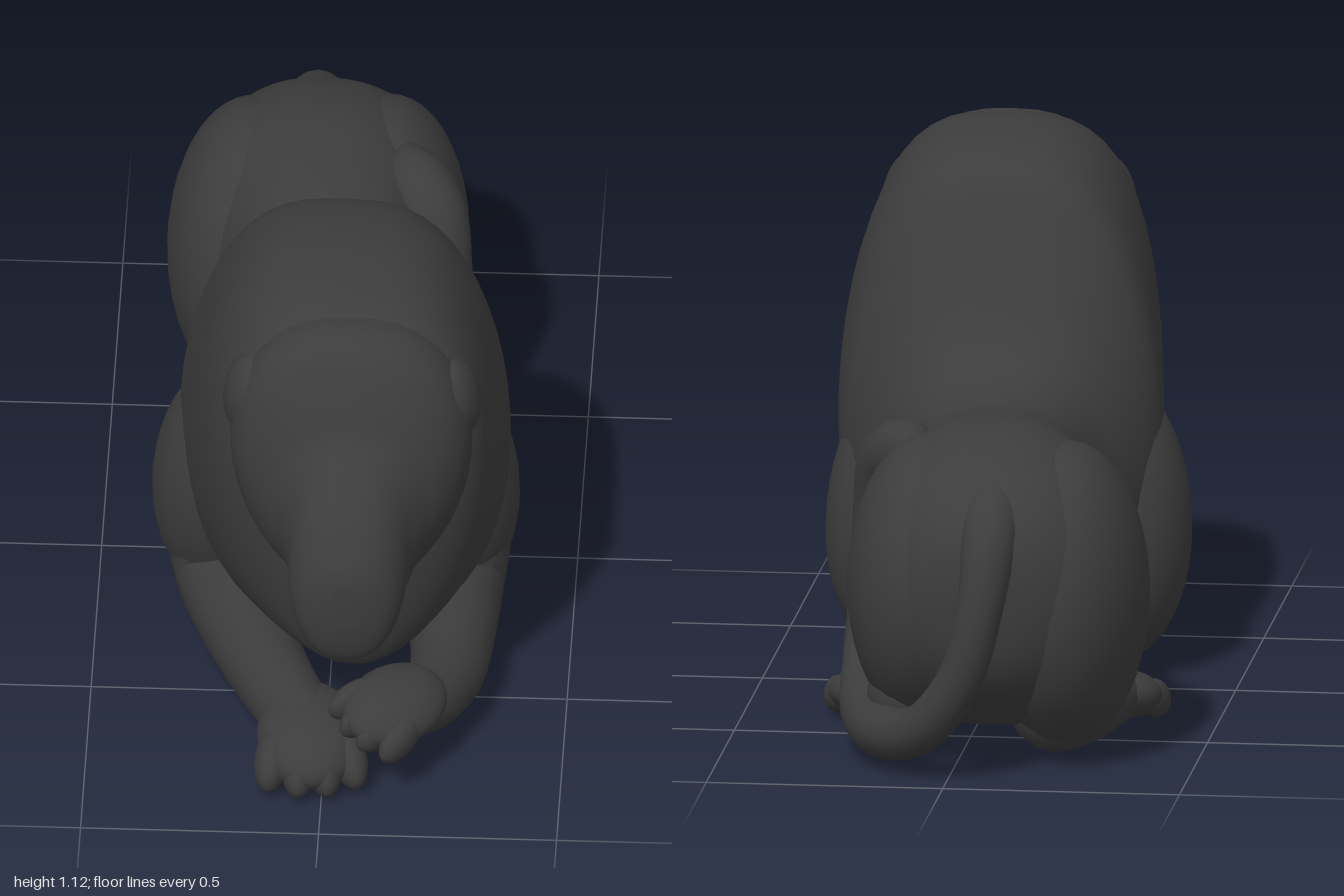
import * as THREE from 'three';

const mat = new THREE.MeshStandardMaterial({ color: 0x3c3c3c, side: THREE.DoubleSide });

// Joins closed rings of points into a smooth skin, closing both ends
function skin(rings) {
  const n = rings[0].length, pos = [], idx = [];
  rings.forEach(r => r.forEach(p => pos.push(p.x, p.y, p.z)));
  for (let i = 0; i < rings.length - 1; i++) {
    for (let j = 0; j < n; j++) {
      const a = i * n + j, b = i * n + (j + 1) % n;
      idx.push(a, b, a + n, b, b + n, a + n);
    }
  }
  [0, rings.length - 1].forEach(i => {
    const c = rings[i].reduce((s, p) => s.add(p), new THREE.Vector3()).divideScalar(n);
    const k = pos.length / 3;
    pos.push(c.x, c.y, c.z);
    for (let j = 0; j < n; j++) {
      const a = i * n + j, b = i * n + (j + 1) % n;
      if (i === 0) idx.push(k, b, a); else idx.push(k, a, b);
    }
  });
  const g = new THREE.BufferGeometry();
  g.setAttribute('position', new THREE.Float32BufferAttribute(pos, 3));
  g.setIndex(idx);
  g.computeVertexNormals();
  return g;
}

// Smoothly blends rows of numbers; u runs from 0 to 1
function blend(rows, u) {
  const f = u * (rows.length - 1), i = Math.min(Math.floor(f), rows.length - 2), t = f - i;
  const at = k => rows[Math.max(0, Math.min(rows.length - 1, k))];
  return rows[0].map((_, c) => {
    const [a, b, d, e] = [at(i - 1)[c], at(i)[c], at(i + 1)[c], at(i + 2)[c]];
    return b + 0.5 * t * (d - a + t * (2 * a - 5 * b + 4 * d - e + t * (3 * (b - d) + e - a)));
  });
}

// Sections along z: [z, centre x, half width, bottom y, top y, taper, roundness]
function loft(rows) {
  const steps = (rows.length - 1) * 4, rings = [];
  for (let i = 0; i <= steps; i++) {
    const [z, cx, w, y0, y1, taper, power] = blend(rows, i / steps);
    rings.push(Array.from({ length: 48 }, (_, j) => {
      const a = j / 48 * Math.PI * 2, c = Math.cos(a), s = Math.sin(a);
      const x = Math.sign(c) * Math.abs(c) ** power * w * (1 + taper * s);
      return new THREE.Vector3(cx + x, (y0 + y1) / 2 + s * (y1 - y0) / 2, z);
    }));
  }
  return skin(rings);
}

// Rounded limb through points [x, y, z, radius]
function limb(rows) {
  const steps = (rows.length - 1) * 6, sides = 16;
  const curve = new THREE.CatmullRomCurve3(rows.map(r => new THREE.Vector3(r[0], r[1], r[2])));
  const rings = [], side = new THREE.Vector3(1, 0, 0);
  const ring = (p, t, r) => {
    side.addScaledVector(t, -side.dot(t)).normalize();
    const v = new THREE.Vector3().crossVectors(t, side);
    rings.push(Array.from({ length: sides }, (_, j) => {
      const a = j / sides * Math.PI * 2;
      return p.clone().addScaledVector(side, Math.cos(a) * r).addScaledVector(v, Math.sin(a) * r);
    }));
  };
  for (let i = 0; i <= steps; i++) {
    const u = i / steps, p = curve.getPoint(u), t = curve.getTangent(u), r = blend(rows, u)[3];
    const caps = i === 0 ? [-0.98, -0.8, -0.45, 0] : i === steps ? [0, 0.45, 0.8, 0.98] : [0];
    caps.forEach(c => ring(p.clone().addScaledVector(t, c * r), t, r * Math.sqrt(1 - c * c)));
  }
  return skin(rings);
}

export function createModel() {
  const lion = new THREE.Group();
  lion.name = 'recliningLion';
  const add = (name, geometry, parent = lion) => {
    const m = new THREE.Mesh(geometry, mat);
    m.name = name;
    parent.add(m);
    return m;
  };
  const ball = (name, p, r, rot = [0, 0, 0], parent = lion) => {
    const m = add(name, new THREE.SphereGeometry(1, 32, 22), parent);
    m.position.set(...p);
    m.scale.set(...r);
    m.rotation.set(...rot);
  };

  // Trunk, rising from the rump into the mane
  add('bodyAndMane', loft([
    [-0.945, -0.07, 0.03, 0.36, 0.46, 0, 0.9], [-0.92, -0.07, 0.13, 0.24, 0.54, 0, 0.9],
    [-0.85, -0.07, 0.22, 0.15, 0.615, 0, 0.85], [-0.75, -0.065, 0.275, 0.09, 0.67, -0.05, 0.8],
    [-0.6, -0.06, 0.295, 0.07, 0.705, -0.08, 0.8], [-0.42, -0.045, 0.255, 0.09, 0.69, -0.05, 0.8],
    [-0.25, -0.025, 0.22, 0.08, 0.66, 0, 0.75], [-0.1, -0.005, 0.24, 0.07, 0.69, 0, 0.75],
    [0, 0, 0.28, 0.07, 0.77, -0.05, 0.75], [0.1, 0.005, 0.32, 0.07, 0.93, -0.1, 0.75],
    [0.18, 0.015, 0.34, 0.07, 1.06, -0.1, 0.7], [0.3, 0.03, 0.342, 0.08, 1.11, -0.06, 0.66],
    [0.45, 0.035, 0.325, 0.15, 1.125, -0.01, 0.66], [0.58, 0.045, 0.3, 0.2, 1.11, 0.08, 0.7],
    [0.66, 0.055, 0.265, 0.215, 1.08, 0.2, 0.75], [0.71, 0.06, 0.21, 0.24, 1.03, 0.3, 0.8],
    [0.745, 0.06, 0.13, 0.31, 0.95, 0.3, 0.85], [0.755, 0.06, 0.05, 0.4, 0.85, 0.1, 0.9],
  ]));

  // Broad face with an overhanging brow and a long muzzle
  add('face', loft([
    [0.55, 0.055, 0.25, 0.47, 1.07, 0.05, 0.75], [0.67, 0.055, 0.255, 0.46, 1.092, 0.08, 0.78],
    [0.74, 0.055, 0.235, 0.47, 1.06, 0.12, 0.8], [0.79, 0.058, 0.19, 0.475, 0.97, 0.14, 0.8],
    [0.82, 0.06, 0.158, 0.473, 0.9, 0.08, 0.78], [0.87, 0.058, 0.132, 0.455, 0.845, 0, 0.78],
    [0.93, 0.055, 0.12, 0.43, 0.78, 0, 0.8], [0.97, 0.055, 0.098, 0.442, 0.72, 0, 0.85],
    [0.99, 0.055, 0.068, 0.485, 0.685, 0, 0.9], [1, 0.055, 0.03, 0.54, 0.65, 0, 1],
  ]));

  // Ears, half sunk into the mane
  for (const s of [-1, 1]) {
    ball('ear', [0.055 + s * 0.22, 0.9, 0.65], [0.05, 0.1, 0.075], [0.3, 0, s * 0.15]);
  }

  // Paw with four toes, pointing along local +z
  function paw(name, p, yaw, tilt, scale, roll = 0) {
    const g = new THREE.Group();
    g.name = name;
    g.position.set(...p);
    g.rotation.set(tilt, yaw, roll, 'YXZ');
    g.scale.setScalar(scale);
    ball('pad', [0, 0, 0], [0.102, 0.064, 0.135], [0, 0, 0], g);
    for (let i = 0; i < 4; i++) {
      const d = i - 1.5;
      ball('toe', [d * 0.05, -0.01, 0.08 - Math.abs(d) * 0.018], [0.034, 0.05, 0.07], [0.25, d * 0.12, 0], g);
    }
    lion.add(g);
  }

  // Shoulders and folded forelegs, the left one resting over the right
  for (const s of [-1, 1]) {
    ball('shoulder', [s * 0.24, 0.34, 0.18], [0.145, 0.29, 0.17], [0.15, 0, s * 0.08]);
  }
  add('leftForeleg', limb([
    [0.27, 0.32, 0.17, 0.115], [0.25, 0.135, 0.23, 0.11], [0.255, 0.115, 0.4, 0.093],
    [0.25, 0.115, 0.56, 0.08], [0.21, 0.135, 0.69, 0.07], [0.16, 0.17, 0.77, 0.06],
  ]));
  paw('leftForepaw', [0.15, 0.175, 0.765], -0.75, 0.05, 0.92, -0.25);
  add('rightForeleg', limb([
    [-0.26, 0.32, 0.17, 0.115], [-0.23, 0.135, 0.23, 0.11], [-0.19, 0.115, 0.38, 0.098],
    [-0.12, 0.105, 0.57, 0.085], [-0.05, 0.095, 0.72, 0.075], [-0.03, 0.09, 0.78, 0.06],
  ]));
  paw('rightForepaw', [-0.03, 0.09, 0.765], 0.1, 0.15, 1.08);

  // Haunches and hind feet
  ball('leftHaunch', [0.075, 0.37, -0.62], [0.17, 0.31, 0.29]);
  ball('rightHaunch', [-0.215, 0.345, -0.62], [0.175, 0.325, 0.29]);
  add('leftHindFoot', limb([[0.1, 0.14, -0.72, 0.09], [0.15, 0.085, -0.58, 0.075], [0.235, 0.07, -0.36, 0.055]]));
  paw('leftHindPaw', [0.24, 0.065, -0.35], 0.2, 0.15, 0.76);
  add('rightHindFoot', limb([[-0.2, 0.12, -0.68, 0.1], [-0.25, 0.085, -0.52, 0.075], [-0.3, 0.07, -0.33, 0.055]]));
  paw('rightHindPaw', [-0.3, 0.065, -0.32], -0.12, 0.15, 0.8);

  // Tail wrapped around the left haunch, ending in a pointed tuft
  add('tail', limb([
    [-0.08, 0.575, -0.78, 0.07], [-0.085, 0.52, -0.9, 0.06], [-0.075, 0.4, -0.95, 0.05],
    [-0.03, 0.23, -0.95, 0.048], [0.06, 0.11, -0.9, 0.052], [0.15, 0.08, -0.8, 0.056],
    [0.205, 0.095, -0.65, 0.054], [0.225, 0.16, -0.49, 0.048], [0.225, 0.28, -0.41, 0.045],
    [0.215, 0.44, -0.395, 0.048], [0.18, 0.57, -0.43, 0.07], [0.135, 0.62, -0.5, 0.066],
    [0.1, 0.635, -0.615, 0.01],
  ]));
  return lion;
}
